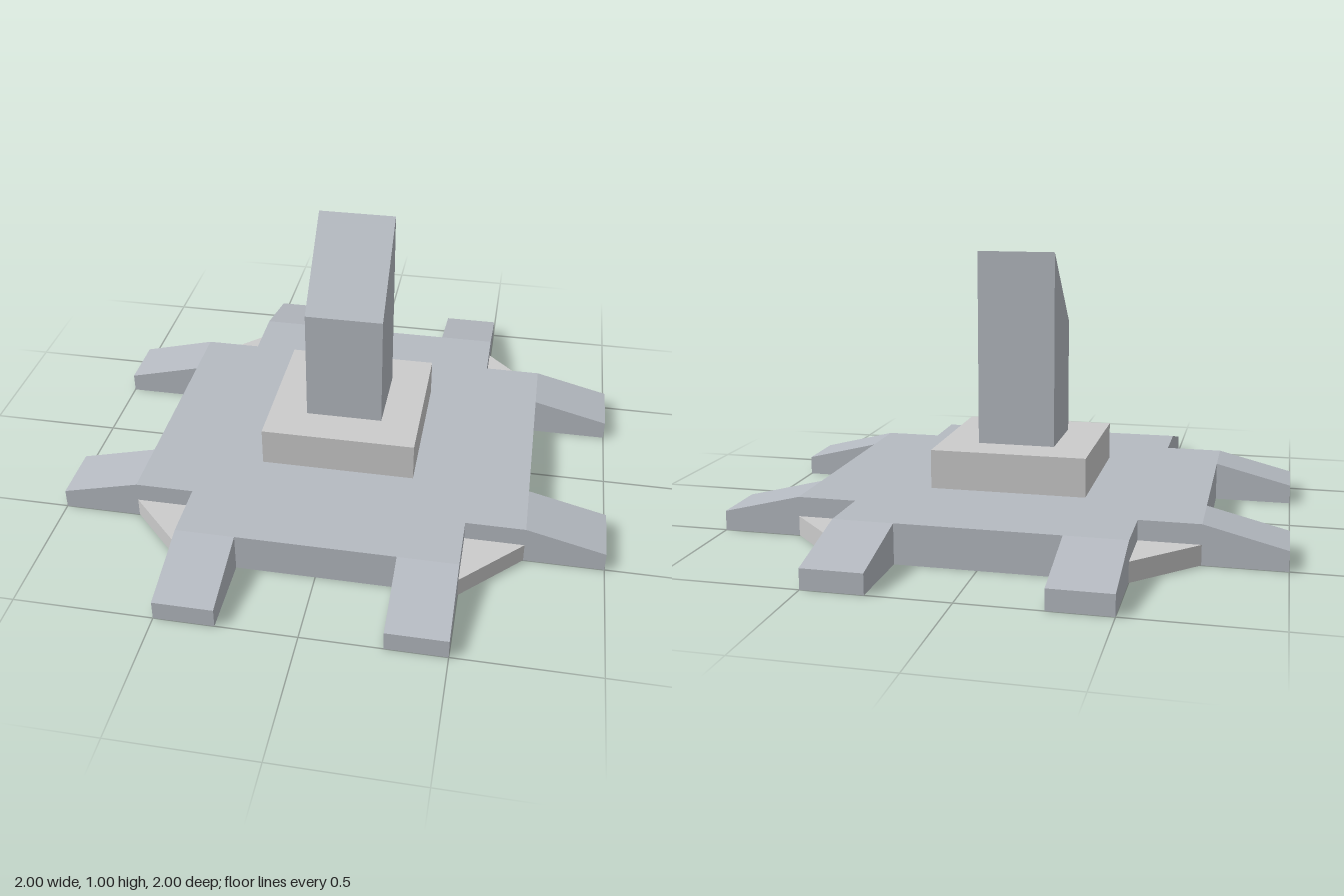
import * as THREE from 'three';

const U = 1 / 14; // the design sits on a regular 1/14 unit grid

// Extrude a polygon given in grid units
function prism(points, depth) {
  const shape = new THREE.Shape(points.map(([x, y]) => new THREE.Vector2(x * U, y * U)));
  return new THREE.ExtrudeGeometry(shape, { depth: depth * U, bevelEnabled: false });
}

export function createModel() {
  const group = new THREE.Group();
  const grey = new THREE.MeshStandardMaterial({ color: 0xcccccc, flatShading: true });
  const blueGrey = new THREE.MeshStandardMaterial({ color: 0xb5bac1, flatShading: true });

  const add = (name, geometry, material, turn = 0) => {
    const mesh = new THREE.Mesh(geometry, material);
    mesh.name = name;
    mesh.rotation.y = turn * Math.PI / 2;
    group.add(mesh);
  };

  // Cross-shaped base slab with notched corners
  const slab = prism([
    [10, -7], [10, 7], [7, 7], [7, 10], [-7, 10], [-7, 7],
    [-10, 7], [-10, -7], [-7, -7], [-7, -10], [7, -10], [7, -7],
  ], 2).rotateX(-Math.PI / 2);
  add('baseSlab', slab, blueGrey);

  // Two sloping feet on each side, and a low triangular web in each corner
  const foot = prism([[10, 0], [14, 0], [14, 1], [10, 2]], 3);
  const footA = foot.clone().translate(0, 0, 4 * U);
  const footB = foot.clone().translate(0, 0, -7 * U);
  const web = prism([[7, 7], [10, 7], [7, 10]], 1).rotateX(-Math.PI / 2);
  for (let i = 0; i < 4; i++) {
    add('foot', footA, blueGrey, i);
    add('foot', footB, blueGrey, i);
    add('cornerWeb', web, grey, i);
  }

  // Square plinth
  add('plinth', new THREE.BoxGeometry(8 * U, 2 * U, 8 * U).translate(0, 3 * U, 0), grey);

  // Square pillar cut at 45 degrees, low edge to the front
  const pillar = prism([[-2, 4], [2, 4], [2, 10], [-2, 14]], 4)
    .translate(0, 0, -2 * U)
    .rotateY(-Math.PI / 2);
  add('pillar', pillar, blueGrey);

  return group;
}
